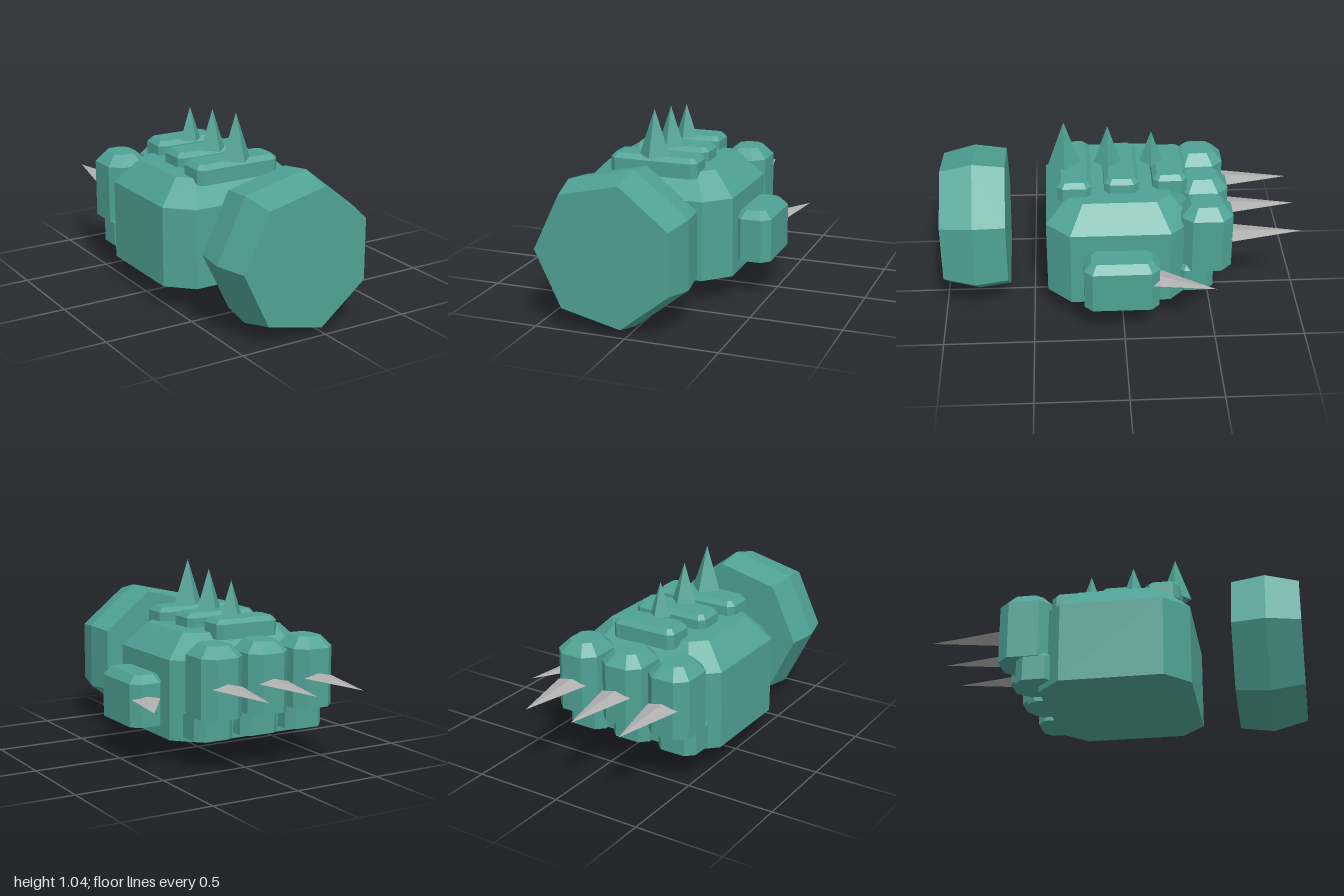
import * as THREE from 'three';

const teal = new THREE.MeshStandardMaterial({ color: 0x4fa295 });
teal.name = 'teal armour';
const steel = new THREE.MeshStandardMaterial({ color: 0xb0b0b0 });
steel.name = 'grey steel';

// Flat-faced solid through rings of points, capped at both ends.
// Each ring runs counter-clockwise about the direction of travel.
function loft(rings) {
  const points = [];
  const n = rings[0].length;
  for (let r = 0; r < rings.length - 1; r++) {
    const a = rings[r], b = rings[r + 1];
    for (let i = 0; i < n; i++) {
      const j = (i + 1) % n;
      points.push(a[i], a[j], b[j], a[i], b[j], b[i]);
    }
  }
  const first = rings[0], last = rings[rings.length - 1];
  for (let i = 1; i < n - 1; i++) {
    points.push(first[0], first[i + 1], first[i]);
    points.push(last[0], last[i], last[i + 1]);
  }
  const geometry = new THREE.BufferGeometry().setFromPoints(points);
  geometry.computeVertexNormals();
  return geometry;
}

// Rectangle with cut corners, level at height y
function octagon(x, y, z, hx, hz, cut) {
  return [
    [hx, hz - cut], [hx, -hz + cut], [hx - cut, -hz], [-hx + cut, -hz],
    [-hx, -hz + cut], [-hx, hz - cut], [-hx + cut, hz], [hx - cut, hz],
  ].map(([px, pz]) => new THREE.Vector3(x + px, y, z + pz));
}

// Upright block with cut corners and a bevelled top
function block({ x, z, w, d, y0, y1, y2, cut, inset }) {
  const hx = w / 2, hz = d / 2;
  return loft([
    octagon(x, y0, z, hx, hz, cut),
    octagon(x, y1, z, hx, hz, cut),
    octagon(x, y2, z, hx - inset, hz - inset, cut * 0.6),
  ]);
}

// Four-sided spike, base at the origin, pointing up
function spike(rx, rz, length) {
  const geometry = new THREE.ConeGeometry(1, length, 4).toNonIndexed();
  geometry.scale(rx, 1, rz).translate(0, length / 2, 0);
  geometry.computeVertexNormals();
  return geometry;
}

export function createModel() {
  const group = new THREE.Group();
  group.name = 'spikedGauntlet';
  const add = (name, geometry, material = teal) => {
    const mesh = new THREE.Mesh(geometry, material);
    mesh.name = name;
    group.add(mesh);
    return mesh;
  };
  const cx = -0.11;

  // Seven-sided wrist cuff, floating in front of the hand
  const cuffRing = (radius, z) => Array.from({ length: 7 }, (_, i) => {
    const a = Math.PI + (i * 2 * Math.PI) / 7;
    return new THREE.Vector3(cx + radius * Math.cos(a), 0.422 + radius * Math.sin(a), z);
  });
  add('wristCuff', loft([cuffRing(0.405, 0.64), cuffRing(0.43, 0.82), cuffRing(0.385, 1)]));

  // Hand
  add('hand', block({
    x: cx, z: 0.015, w: 0.88, d: 0.81, y0: 0.14, y1: 0.58, y2: 0.71, cut: 0.13, inset: 0.125,
  }));

  // Ridge plates with upright spikes
  [
    { z: 0.26, w: 0.5, spikeZ: 0.31, r: 0.088, tip: 1.04 },
    { z: 0, w: 0.44, spikeZ: 0.07, r: 0.076, tip: 1.01 },
    { z: -0.268, w: 0.38, spikeZ: -0.172, r: 0.064, tip: 0.972 },
  ].forEach(({ z, w, spikeZ, r, tip }, i) => {
    add(`ridgePlate${i + 1}`, block({
      x: cx, z, w, d: 0.19, y0: 0.68, y1: 0.762, y2: 0.788, cut: 0.03, inset: 0.025,
    }));
    add(`ridgeSpike${i + 1}`, spike(r, r, tip - 0.785)).position.set(cx, 0.785, spikeZ);
  });

  // Fingers: upper joint, curled lower joint and a flat claw
  [-0.4, cx, 0.175].forEach((x, i) => {
    add(`fingerUpper${i + 1}`, block({
      x, z: -0.4625, w: 0.25, d: 0.285, y0: 0.305, y1: 0.63, y2: 0.69, cut: 0.06, inset: 0.055,
    }));
    add(`fingerLower${i + 1}`, block({
      x, z: -0.4, w: 0.235, d: 0.21, y0: 0.172, y1: 0.305, y2: 0.36, cut: 0.045, inset: 0.045,
    }));
    const claw = add(`fingerClaw${i + 1}`, spike(0.09, 0.022, 0.4), steel);
    claw.rotation.x = -Math.PI / 2;
    claw.position.set(x, 0.475, -0.6);
  });

  // Thumb and its outward-turned claw
  add('thumb', block({
    x: 0.407, z: 0.015, w: 0.206, d: 0.41, y0: 0.21, y1: 0.447, y2: 0.49, cut: 0.045, inset: 0.04,
  }));
  const thumbClaw = add('thumbClaw', spike(0.08, 0.018, 0.34), steel);
  thumbClaw.rotation.set(-Math.PI / 2, -0.355, 0, 'YXZ');
  thumbClaw.position.set(0.427, 0.363, -0.171);

  return group;
}
